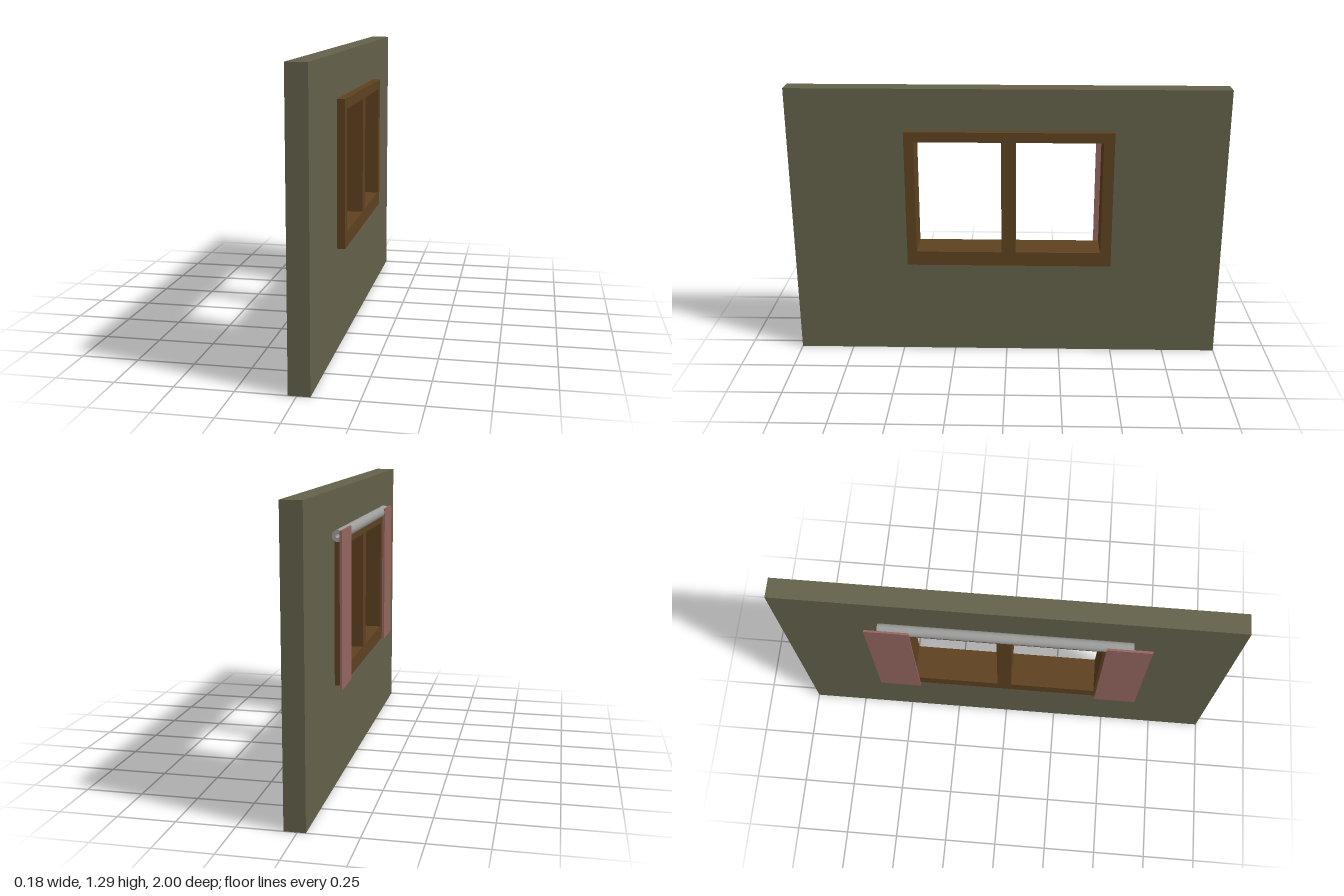
import * as THREE from 'three';

// Rectangle outline from (z0, y0) to (z1, y1); shape x stands for -z
function rect(PathType, z0, y0, z1, y1) {
  const p = new PathType();
  p.moveTo(-z1, y0);
  p.lineTo(-z0, y0);
  p.lineTo(-z0, y1);
  p.lineTo(-z1, y1);
  p.closePath();
  return p;
}

// Upright panel with rectangular holes, running from x0 to x1
function panel(name, material, outer, holes, x0, x1) {
  const shape = rect(THREE.Shape, ...outer);
  for (const h of holes) shape.holes.push(rect(THREE.Path, ...h));
  const geo = new THREE.ExtrudeGeometry(shape, { depth: x1 - x0, bevelEnabled: false });
  geo.rotateY(Math.PI / 2);
  geo.translate(x0, 0, 0);
  const mesh = new THREE.Mesh(geo, material);
  mesh.name = name;
  return mesh;
}

function makeMaterial(name, color) {
  const m = new THREE.MeshStandardMaterial({ color });
  m.name = name;
  return m;
}

export function createModel() {
  const model = new THREE.Group();
  model.name = 'windowWall';

  const plaster = makeMaterial('olivePlaster', 0x64624b);
  const wood = makeMaterial('brownWood', 0x5e4120);
  const cloth = makeMaterial('dustyRoseCloth', 0x96665f);
  const metal = makeMaterial('greyMetal', 0x9c9d9b);

  // Wall with the window opening
  const frameOutline = [-0.485, 0.453, 0.465, 1.096];
  model.add(panel('wall', plaster, [-1, 0, 1, 1.286], [frameOutline], -0.035, 0.055));

  // Window frame with two openings and a centre post
  const openings = [[0.025, 0.52, 0.42, 1.05], [-0.435, 0.52, -0.04, 1.05]];
  model.add(panel('windowFrame', wood, frameOutline, openings, -0.07, 0.09));

  // Curtains drawn to both ends of the rod
  model.add(panel('curtainBack', cloth, [-0.605, 0.466, -0.412, 1.13], [], -0.093, -0.084));
  model.add(panel('curtainFront', cloth, [0.43, 0.455, 0.625, 1.12], [], -0.088, -0.077));

  // Hollow curtain rod, its wall section turned about the axis
  const inner = 0.009, outer = 0.025, z0 = -0.55, z1 = 0.545;
  const section = [
    [inner, z1], [inner, z0], [outer, z0], [outer, z1], [inner, z1],
  ].map(([r, z]) => new THREE.Vector2(r, z));
  const rodGeo = new THREE.LatheGeometry(section, 32);
  rodGeo.rotateX(Math.PI / 2);
  // Separate normals at the rims keep the ends flat and the sides round
  const rod = new THREE.Group();
  rod.name = 'curtainRod';
  for (let i = 0; i < 4; i++) {
    const geo = new THREE.LatheGeometry([section[i], section[i + 1]], 32);
    geo.rotateX(Math.PI / 2);
    const part = new THREE.Mesh(geo, metal);
    part.name = ['rodBore', 'rodBackEnd', 'rodSurface', 'rodFrontEnd'][i];
    rod.add(part);
  }
  rodGeo.dispose();
  rod.scale.x = 0.93;
  rod.position.set(-0.063, 1.102, 0);
  model.add(rod);

  return model;
}
